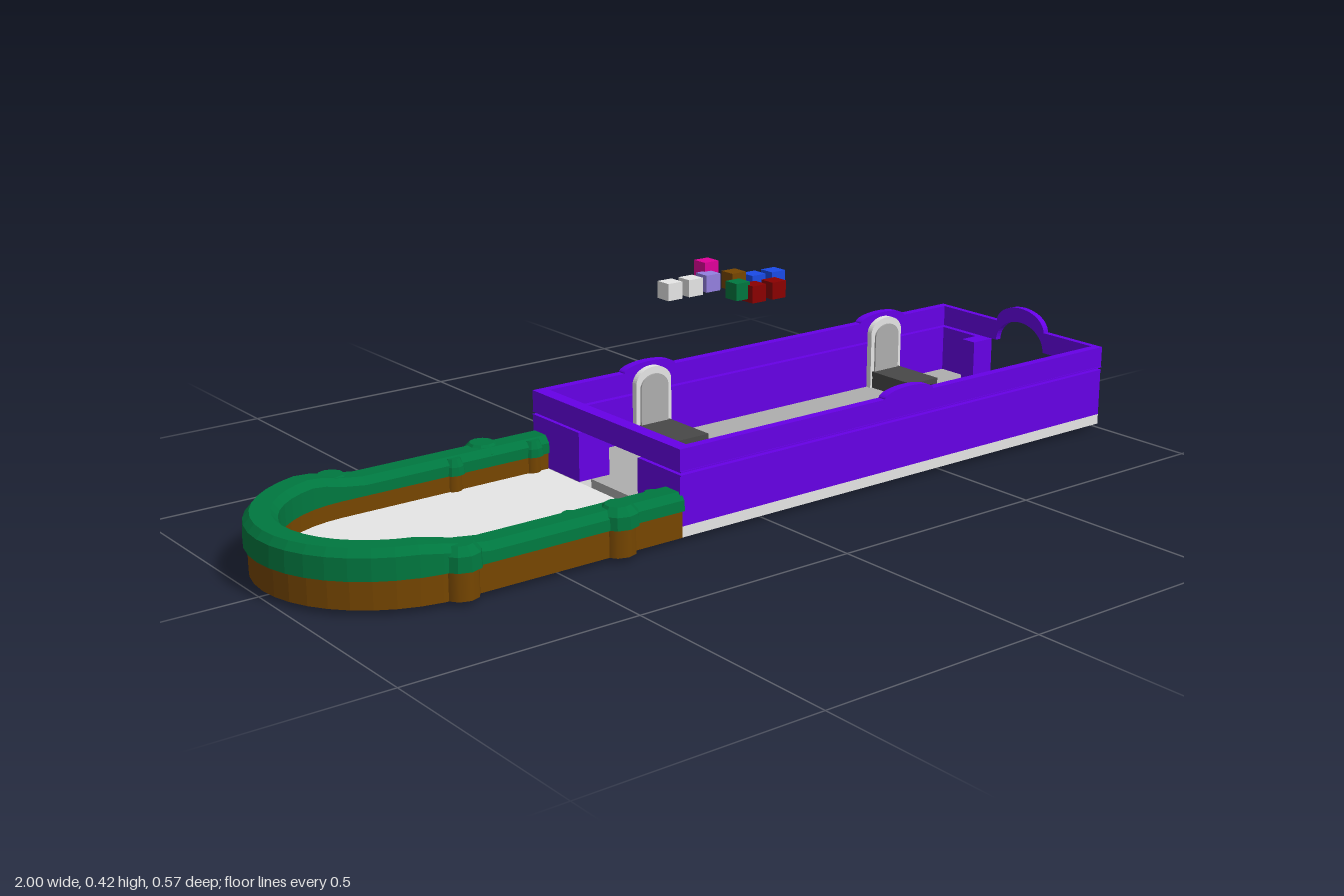
import * as THREE from 'three';

const mat = (name, color) => {
  const m = new THREE.MeshStandardMaterial({ color });
  m.name = name;
  return m;
};

export function createModel() {
  const root = new THREE.Group();
  root.name = 'hallAndGarden';
  const purple = mat('purple wall', 0x6600e6), light = mat('light stone', 0xe6e6e6);
  const grey = mat('grey floor', 0xaeaeae), dark = mat('dark seat', 0x484848);
  const green = mat('hedge green', 0x00773f), brown = mat('earth brown', 0x764600);
  const red = mat('red', 0x8b0000), blue = mat('blue', 0x1a4cec);
  const lavender = mat('lavender', 0x9480e0), magenta = mat('magenta', 0xe0009a);

  const add = (name, geo, material, parent = root) => {
    const m = new THREE.Mesh(geo, material);
    m.name = name;
    parent.add(m);
    return m;
  };
  // box given by its limits
  const box = (name, material, x0, x1, y0, y1, z0, z1, parent = root) =>
    add(name, new THREE.BoxGeometry(x1 - x0, y1 - y0, z1 - z0)
      .translate((x0 + x1) / 2, (y0 + y1) / 2, (z0 + z1) / 2), material, parent);
  const extrude = (shape, depth) =>
    new THREE.ExtrudeGeometry(shape, { depth, bevelEnabled: false, curveSegments: 12 });

  // ---- hall ----
  const W = 0.256, T = 0.02, XL = -0.22, XR = 0.997, D0 = -0.087, D1 = 0.117;
  const Y0 = 0.01, YF = 0.033, YM = 0.14, YU = 0.145, YT = 0.193, LIP = 0.0025;
  box('hallFloor', grey, -0.19, XR, Y0, YF, -W + T, W - T);

  // long side walls: base, lower wall and upper wall, with lips along a narrow slit
  for (const s of [-1, 1]) {
    const side = (name, material, y0, y1, out = 0) => {
      const a = s * (W + out), b = s * (W - T);
      box(name, material, XL, XR, y0, y1, Math.min(a, b), Math.max(a, b));
    };
    side('sideBase', light, Y0, YF);
    side('sideWallLower', purple, YF, YM);
    side('lowerLip', purple, YM - LIP, YM, 0.002);
    side('upperLip', purple, YU, YU + LIP, 0.002);
    side('sideWallUpper', purple, YU, YT);
  }

  // end walls with a doorway and inner door jambs
  for (const [x0, x1, j0, j1] of [[XL, -0.19, -0.19, -0.143], [0.982, XR, 0.937, 0.982]])
    for (const [z0, z1, k0, k1] of [[-W + T, D0, D0 - 0.04, D0], [D1, W - T, D1, D1 + 0.04]]) {
      box('endBase', light, x0, x1 + 0.0005, Y0 - 0.0005, YF, z0, z1);
      box('endWallLower', purple, x0, x1, YF, YM, z0, z1);
      box('doorJamb', purple, j0, j1, YF, YM, k0, k1);
    }
  box('gardenLintel', purple, XL, -0.19, YU, YT, -W + T, W - T);

  // arched lintel at the entrance
  const arch = new THREE.Shape();
  arch.moveTo(-W, YU);
  arch.lineTo(-0.06, YU);
  arch.absellipse(0.015, YU, 0.075, 0.058, Math.PI, 0, true);
  arch.lineTo(W, YU);
  arch.lineTo(W, YT);
  arch.lineTo(0.09, YT);
  arch.absellipse(0.015, YT, 0.075, 0.044, 0, Math.PI, false);
  arch.lineTo(-W, YT);
  add('entranceArch', extrude(arch, 0.015).rotateY(-Math.PI / 2), purple).position.x = XR + 0.001;

  // ---- chairs, each under a raised curve of the wall ----
  const backShape = (w, y0, y1, rise) => {
    const s = new THREE.Shape();
    s.moveTo(-w, y0);
    s.lineTo(w, y0);
    s.lineTo(w, y1);
    s.absellipse(0, y1, w, rise, 0, Math.PI, false);
    return s;
  };
  // x, side, bottom of the seat sides, front edge of the seat
  for (const [x, s, low, front] of [[0.077, -1, 0, -0.082], [0.775, -1, 0.012, -0.088], [0.392, 1, 0.012, -0.11]]) {
    const chair = new THREE.Group();
    chair.name = 'chair';
    chair.position.x = x;
    if (s > 0) chair.rotation.y = Math.PI;
    root.add(chair);
    const crest = new THREE.Shape();
    crest.absellipse(0, YT, 0.07, 0.018, 0, Math.PI, false);
    add('wallCrest', extrude(crest, T), purple, chair).position.z = -W;
    add('chairBack', extrude(backShape(0.048, YF, 0.165, 0.036), 0.014), light, chair).position.z = -W + T;
    add('backPanel', extrude(backShape(0.037, 0.06, 0.155, 0.03), 0.004), grey, chair).position.z = -0.222;
    box('seat', dark, -0.043, 0.043, 0.061, 0.073, -0.228, front, chair);
    for (const k of [-1, 1])
      box('seatSide', dark, k * 0.036 - 0.006, k * 0.036 + 0.006, low, 0.062, -0.228, front, chair);
  }

  // ---- garden ----
  // half-oval outline: straight run, curved end, straight run back
  const CX = -0.715;
  const stations = [];
  for (const x of [-0.215, -0.45, -0.66]) stations.push([x, 0.232, 0, 1]);
  for (let i = 0; i <= 20; i++) {
    const a = (i / 20) * Math.PI;
    stations.push([CX - 0.252 * Math.sin(a), 0.232 * Math.cos(a), -Math.sin(a), Math.cos(a)]);
  }
  for (const x of [-0.66, -0.45, -0.215]) stations.push([x, -0.232, 0, -1]);

  // sweep a cross-section of [outward, height] points along the outline
  const sweep = (section) => {
    const pos = [], idx = [];
    let n = 0;
    stations.forEach(([x, z, nx, nz]) => {
      const ring = section(x);
      n = ring.length;
      for (const [o, h] of ring) pos.push(x + nx * o, h, z + nz * o);
    });
    for (let i = 0; i < stations.length - 1; i++)
      for (let j = 0; j < n; j++) {
        const a = i * n + j, b = i * n + (j + 1) % n;
        idx.push(a, b, b + n, a, b + n, a + n);
      }
    let g = new THREE.BufferGeometry();
    g.setAttribute('position', new THREE.Float32BufferAttribute(pos, 3));
    g.setIndex(idx);
    g = g.toNonIndexed();
    g.computeVertexNormals();
    return g;
  };
  const hedgeTop = (x) => 0.105 + 0.022 * THREE.MathUtils.smoothstep(-x, 0.66, 0.8);
  add('earthBank', sweep(() => [[-0.031, Y0], [0.025, Y0], [0.025, 0.07], [-0.031, 0.07]]), brown);
  add('hedge', sweep((x) => {
    const t = hedgeTop(x);
    return [[-0.036, 0.068], [0.033, 0.068], [0.031, t - 0.015], [0.018, t], [-0.022, t], [-0.035, t - 0.015]];
  }), green);

  // courtyard floor
  const court = new THREE.Shape();
  court.moveTo(XL, -0.215);
  court.lineTo(XL, 0.215);
  court.lineTo(CX, 0.215);
  court.absellipse(CX, 0, 0.235, 0.215, Math.PI / 2, Math.PI * 1.5, false);
  add('courtyardFloor', extrude(court, 0.02).rotateX(Math.PI / 2), light).position.y = 0.032;

  // rounded bushes swelling out of the hedge
  for (const s of [-1, 1])
    for (const [x, z, r, top] of [[-0.36, 0.241, 0.044, 0.11], [-0.715, 0.241, 0.044, 0.114],
      [-0.45, 0.211, 0.026, 0.102], [-0.255, 0.211, 0.026, 0.102]]) {
      const bank = new THREE.CylinderGeometry(r - 0.007, r - 0.007, 0.06, 10).translate(0, 0.04, 0);
      add('bushBank', bank, brown).position.set(x, 0, s * z);
      const bush = new THREE.LatheGeometry([[0, 0.068], [r, 0.068], [r - 0.002, top - 0.016],
        [r * 0.6, top], [0, top]].map(([a, b]) => new THREE.Vector2(a, b)), 10).toNonIndexed();
      bush.computeVertexNormals();
      add('bush', bush, green).position.set(x, 0, s * z);
    }

  // ---- floating cubes ----
  const cubes = [
    [light, 0.1, 0.376, -0.193], [light, 0.157, 0.376, -0.193], [magenta, 0.215, 0.403, -0.212],
    [lavender, 0.195, 0.383, -0.18], [green, 0.221, 0.374, -0.109], [brown, 0.242, 0.386, -0.149],
    [blue, 0.285, 0.378, -0.133], [blue, 0.341, 0.378, -0.133],
    [red, 0.253, 0.367, -0.093], [red, 0.309, 0.367, -0.093],
  ];
  for (const [m, x, y, z] of cubes)
    add('floatingCube', new THREE.BoxGeometry(0.038, 0.038, 0.038), m).position.set(x, y, z);

  return root;
}
